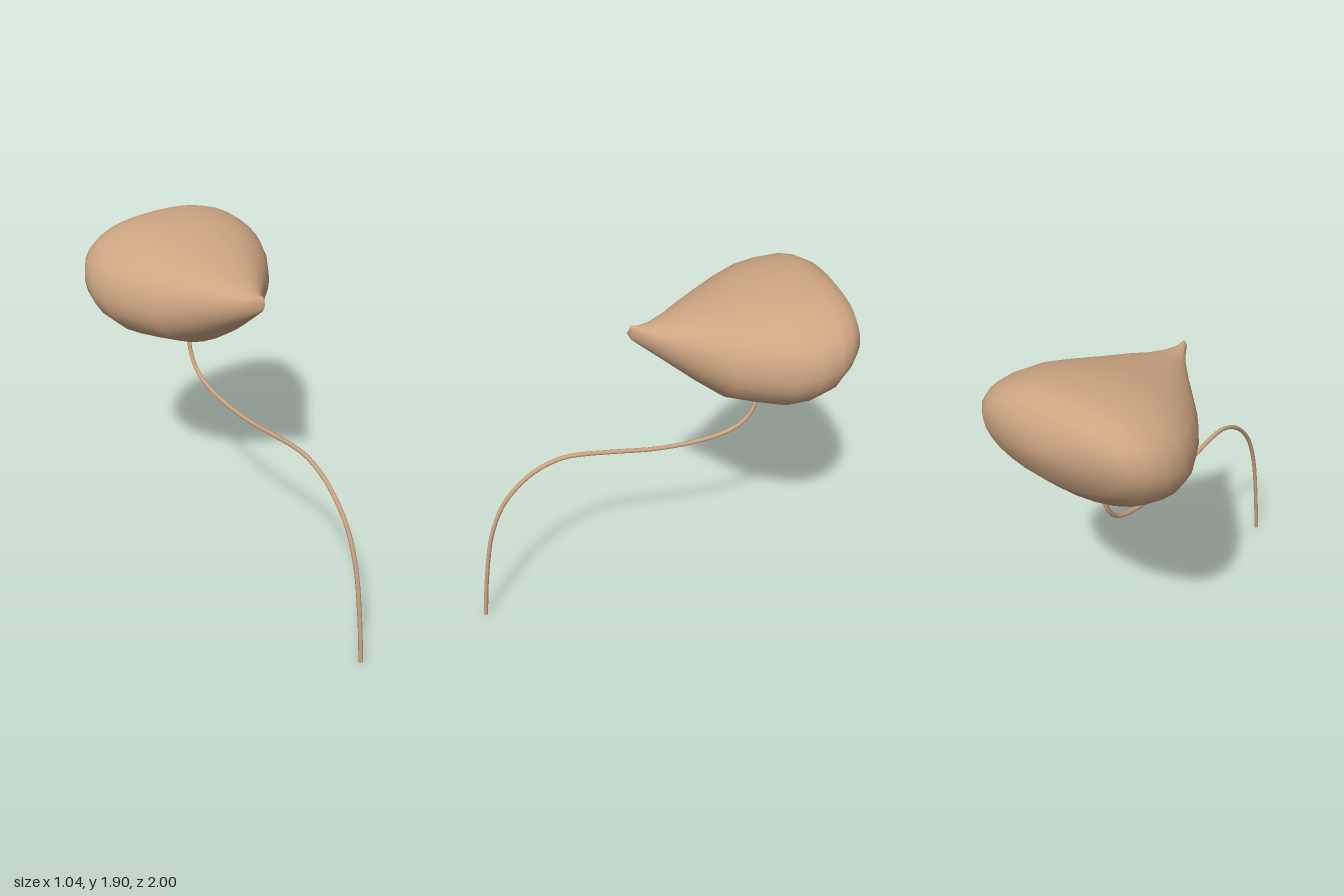
import * as THREE from 'three';

// Loft of rounded cross-sections [z, half width, top y, bottom y], closed by a point at each end
function loft(sections, front, back, sides) {
  const pos = [...front], idx = [];
  const soft = (v, e) => Math.sign(v) * Math.abs(v) ** e;
  for (const [z, w, top, bottom] of sections) {
    const mid = (top + bottom) / 2 + 0.01;
    for (let j = 0; j < sides; j++) {
      const a = (j / sides) * Math.PI * 2, c = Math.cos(a), s = Math.sin(a);
      const e = s > 0 ? 0.88 : 1; // fuller above, rounder below
      pos.push(w * soft(c, e), mid + (s > 0 ? top - mid : mid - bottom) * soft(s, e), z);
    }
  }
  pos.push(...back);
  const n = sections.length, end = 1 + n * sides;
  const at = (i, j) => 1 + i * sides + (j % sides);
  for (let j = 0; j < sides; j++) {
    idx.push(0, at(0, j), at(0, j + 1));
    for (let i = 0; i < n - 1; i++) {
      const a = at(i, j), b = at(i, j + 1), c = at(i + 1, j), d = at(i + 1, j + 1);
      idx.push(a, c, b, b, c, d);
    }
    idx.push(end, at(n - 1, j + 1), at(n - 1, j));
  }
  const g = new THREE.BufferGeometry();
  g.setAttribute('position', new THREE.Float32BufferAttribute(pos, 3));
  g.setIndex(idx);
  g.computeVertexNormals();
  return g;
}

export function createModel() {
  const group = new THREE.Group();
  const tan = new THREE.MeshStandardMaterial({ color: 0xcda582 });
  tan.name = 'tan';
  const add = (name, geometry) => {
    const mesh = new THREE.Mesh(geometry, tan);
    mesh.name = name;
    group.add(mesh);
    return mesh;
  };

  // Teardrop pod, pointed at the front
  const sections = [
    [0.1, 0.012, 1.745, 1.665],
    [0.06, 0.032, 1.735, 1.63],
    [0, 0.075, 1.735, 1.58],
    [-0.1, 0.16, 1.755, 1.5],
    [-0.2, 0.25, 1.785, 1.42],
    [-0.32, 0.355, 1.815, 1.335],
    [-0.45, 0.44, 1.85, 1.31],
    [-0.58, 0.5, 1.885, 1.283],
    [-0.69, 0.522, 1.895, 1.3],
    [-0.8, 0.505, 1.902, 1.34],
    [-0.87, 0.465, 1.888, 1.415],
    [-0.93, 0.4, 1.86, 1.48],
    [-0.97, 0.28, 1.81, 1.57],
    [-0.992, 0.14, 1.75, 1.62],
  ];
  add('pod', loft(sections, [0, 1.705, 0.122], [0, 1.68, -1], 28));

  // Curved stem, points as [z, y]
  const path = [
    [0.988, 0], [0.95, 0.3], [0.89, 0.6], [0.8, 0.8], [0.65, 0.95], [0.5, 1.015], [0.4, 1.02],
    [0.2, 0.997], [0, 0.97], [-0.2, 0.965], [-0.4, 0.99], [-0.5, 1.03], [-0.57, 1.11], [-0.613, 1.31],
  ].map(([z, y]) => new THREE.Vector3(0, y, z));
  add('stem', new THREE.TubeGeometry(new THREE.CatmullRomCurve3(path), 48, 0.012, 8));

  // Disc closing the foot of the stem
  const foot = add('stemFoot', new THREE.CircleGeometry(0.012, 8));
  foot.rotation.x = Math.PI / 2;
  foot.position.copy(path[0]);
  return group;
}
